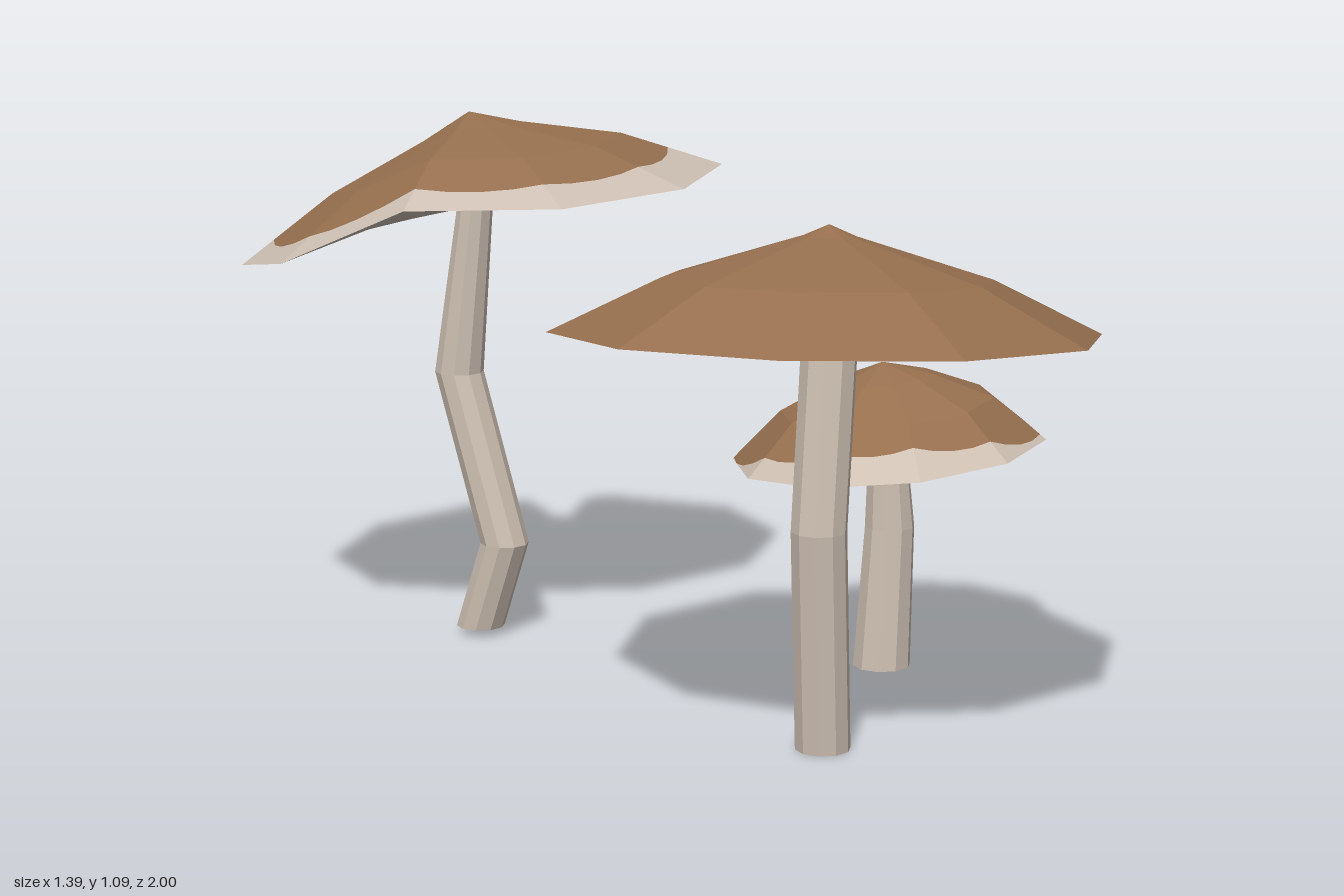
import * as THREE from 'three';

const SIDES = 10;
const lerp = (a, b, t) => a + (b - a) * t;

function meshFrom(points, material, name) {
  const geo = new THREE.BufferGeometry().setFromPoints(points);
  geo.computeVertexNormals(); // unshared corners give flat facets
  const mesh = new THREE.Mesh(geo, material);
  mesh.name = name;
  return mesh;
}

// Ten-sided tilted cap: brown top, pale edge band, shallow hollow underside, optional split
function makeCap(o, mats) {
  const { centre, radius, phase, slope, apex, rings, hollow, paint, split, lift = {} } = o;
  const rim = Array.from({ length: SIDES }, (_, i) => {
    const a = THREE.MathUtils.degToRad(phase + i * 360 / SIDES);
    const dx = radius * Math.cos(a), dz = radius * Math.sin(a);
    return new THREE.Vector3(centre[0] + dx, centre[1] + slope[0] * dx + slope[1] * dz + (lift[i] || 0), centre[2] + dz);
  });
  const hub = new THREE.Vector3(apex[0], centre[1], apex[1]);

  const height = f => {
    let k = 1;
    while (k < rings.length - 1 && f > rings[k][0]) k++;
    const [f0, h0] = rings[k - 1], [f1, h1] = rings[k];
    return lerp(h0, h1, (f - f0) / (f1 - f0));
  };
  const at = (edge, f, h) => {
    const p = hub.clone().lerp(edge, f);
    p.y += h;
    return p;
  };
  const top = (edge, f) => at(edge, f, height(f));
  const under = (edge, f) => at(edge, f, hollow * (1 - f));

  // Where the ray from the hub to the edge leaves the round brown area
  const mid = rings[rings.length - 2][0];
  const paintEnd = edge => {
    if (!paint) return 1;
    const dx = edge.x - hub.x, dz = edge.z - hub.z;
    const ex = hub.x - paint[0], ez = hub.z - paint[1];
    const a = dx * dx + dz * dz, b = dx * ex + dz * ez, c = ex * ex + ez * ez - paint[2] ** 2;
    return THREE.MathUtils.clamp((-b + Math.sqrt(b * b - a * c)) / a, mid, 1);
  };

  const brown = [], pale = [], below = [], walls = [];
  const quad = (list, a, b, c, d) => list.push(a, b, c, a, c, d);

  for (let i = 0; i < SIDES; i++) {
    const p = rim[i], q = rim[(i + 1) % SIDES];
    const cut = split && split.sector === i;
    const steps = cut ? [0, 0.17, split.from, split.to, 0.9, 1] : [0, 0.25, 0.5, 0.75, 1];
    for (let s = 0; s < steps.length - 1; s++) {
      const a = p.clone().lerp(q, steps[s]), b = p.clone().lerp(q, steps[s + 1]);
      const open = cut && steps[s] === split.from;
      const end = open ? split.depth : 1;
      const band = (list, a0, a1, b0, b1) =>
        quad(list, top(a, a0), top(b, b0), top(b, b1), top(a, a1));

      for (let k = 1; k < rings.length; k++) {
        const f0 = rings[k - 1][0], f1 = Math.min(rings[k][0], end);
        if (f1 <= f0) continue;
        if (k < rings.length - 1) band(brown, f0, f1, f0, f1);
        else {
          const fa = paintEnd(a), fb = paintEnd(b);
          band(brown, f0, fa, f0, fb);
          if (fa < 1 || fb < 1) band(pale, fa, 1, fb, 1);
        }
      }
      below.push(under(a, 0), under(a, end), under(b, end));

      // Flesh exposed by the split
      if (open) {
        quad(walls, top(a, end), top(b, end), under(b, end), under(a, end));
        for (const edge of [a, b]) {
          const fs = [end, mid, 1];
          for (let k = 0; k < 2; k++)
            quad(walls, top(edge, fs[k]), top(edge, fs[k + 1]), under(edge, fs[k + 1]), under(edge, fs[k]));
        }
      }
    }
  }
  const cap = new THREE.Group();
  cap.name = 'cap';
  cap.add(meshFrom(brown, mats.brown, 'capTop'), meshFrom(below, mats.cream, 'capUnderside'));
  if (pale.length) cap.add(meshFrom(pale, mats.cream, 'capEdgeBand'));
  if (walls.length) cap.add(meshFrom(walls, mats.cream, 'capSplitWalls'));
  return cap;
}

// Bent stem through rings of [x, y, z, radius]
function makeStem(path, closed, mats) {
  const pts = [];
  const corner = ([x, y, z, r], i) => {
    const a = (i + 0.5) / SIDES * Math.PI * 2;
    return new THREE.Vector3(x + r * Math.cos(a), y, z + r * Math.sin(a));
  };
  for (let k = 0; k < path.length - 1; k++)
    for (let i = 0; i < SIDES; i++) {
      const a = corner(path[k], i), b = corner(path[k + 1], i);
      const c = corner(path[k + 1], i + 1), d = corner(path[k], i + 1);
      pts.push(a, b, c, a, c, d);
    }
  if (closed)
    for (let i = 0; i < SIDES; i++)
      pts.push(new THREE.Vector3(...path[0].slice(0, 3)), corner(path[0], i), corner(path[0], i + 1));
  return meshFrom(pts, mats.cream, 'stem');
}

export function createModel() {
  const mats = {
    brown: new THREE.MeshStandardMaterial({ color: 0x97704f }),
    cream: new THREE.MeshStandardMaterial({ color: 0xcfc1b4, side: THREE.DoubleSide }),
  };
  mats.brown.name = 'capBrown';
  mats.cream.name = 'stemCream';

  const mushrooms = [
    {
      name: 'frontMushroom',
      cap: {
        centre: [0.04, 0.79, 0.477], radius: 0.517, phase: -17, slope: [-0.06, 0.085], apex: [0.05, 0.465],
        rings: [[0, 0.2], [0.1, 0.178], [0.6, 0.1], [1, 0]], hollow: 0.05,
      },
      stem: [[0.03, 0, 0.493, 0.053], [0.003, 0.43, 0.522, 0.053], [0.04, 0.84, 0.495, 0.053]],
    },
    {
      name: 'smallMushroom',
      cap: {
        centre: [0.385, 0.457, 0.1], radius: 0.312, phase: 0, slope: [0.088, 0.05], apex: [0.37, 0.1],
        rings: [[0, 0.178], [0.3, 0.148], [0.68, 0.092], [1, 0]], hollow: 0.05, paint: [0.415, 0.05, 0.31],
      },
      stem: [[0.375, 0.015, 0.1, 0.058], [0.39, 0.3, 0.1, 0.05], [0.382, 0.5, 0.1, 0.036]],
      closed: true,
    },
    {
      name: 'splitMushroom',
      cap: {
        centre: [-0.22, 0.88, -0.515], radius: 0.488, phase: -13, slope: [0.14, 0.19], apex: [-0.24, -0.53],
        rings: [[0, 0.21], [0.2, 0.17], [0.6, 0.105], [1, 0]], hollow: 0.05, paint: [-0.24, -0.525, 0.4],
        split: { sector: 8, from: 0.33, to: 0.78, depth: 0.3 }, lift: { 2: -0.02, 4: 0.06 },
      },
      stem: [[-0.23, 0.015, -0.525, 0.05], [-0.197, 0.2, -0.472, 0.05],
        [-0.255, 0.55, -0.562, 0.05], [-0.227, 0.935, -0.525, 0.035]],
    },
  ];

  const model = new THREE.Group();
  model.name = 'mushroomCluster';
  for (const m of mushrooms) {
    const group = new THREE.Group();
    group.name = m.name;
    group.add(makeCap(m.cap, mats), makeStem(m.stem, m.closed, mats));
    model.add(group);
  }
  return model;
}
